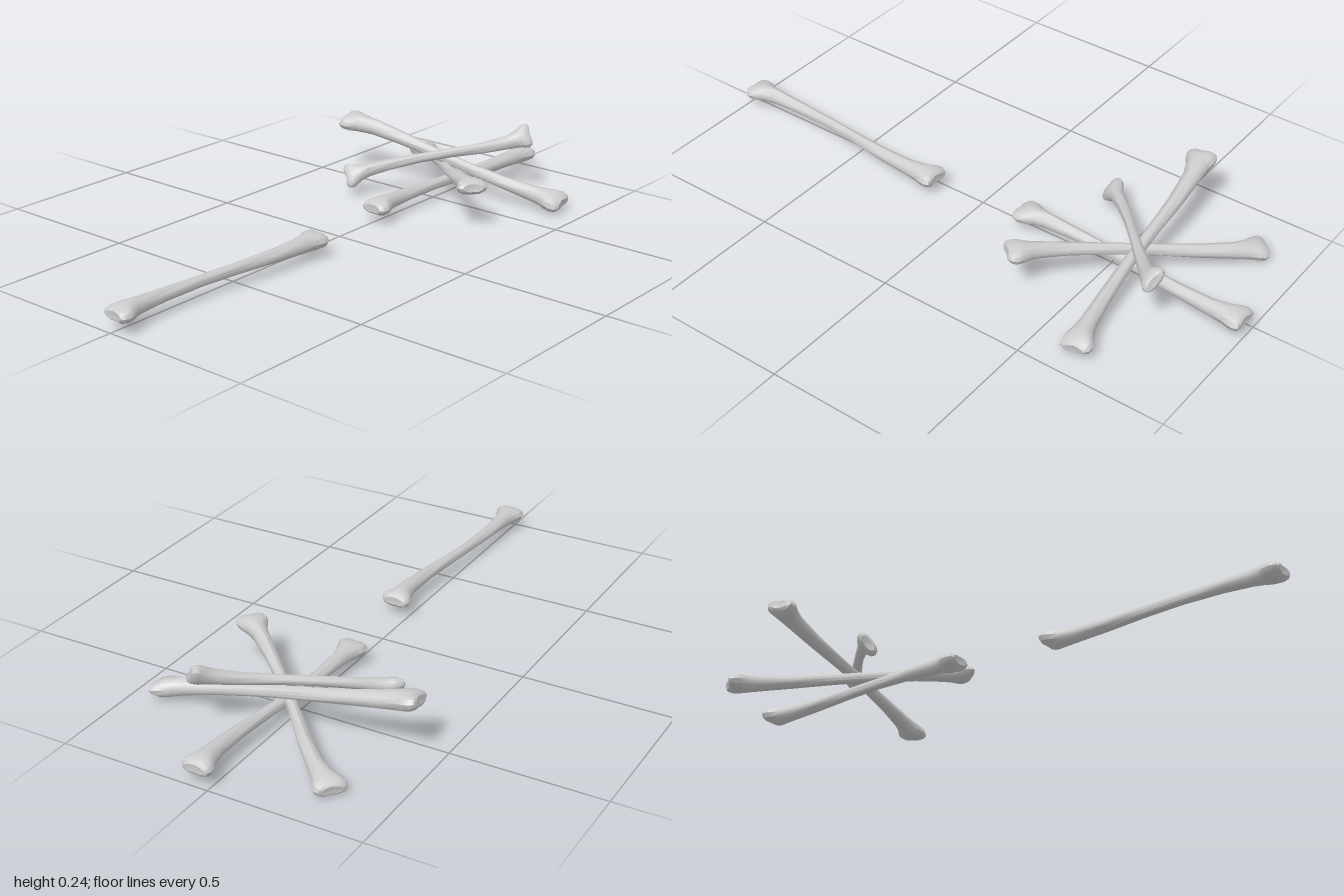
import * as THREE from 'three';
import { toCreasedNormals } from 'three/addons/utils/BufferGeometryUtils.js';

const LENGTH = 0.85;
const SIDES = 12;

// Cross-sections from head to foot: z, centre x, half width, half thickness, knuckle amount
const SECTIONS = [
  [-0.422, 0.000, 0.034, 0.015, 1],
  [-0.416, 0.000, 0.045, 0.024, 1],
  [-0.402, 0.001, 0.051, 0.030, 1],
  [-0.384, 0.002, 0.048, 0.031, 0.7],
  [-0.360, 0.006, 0.037, 0.029, 0.3],
  [-0.310, 0.011, 0.028, 0.025, 0],
  [-0.200, 0.010, 0.023, 0.021, 0],
  [-0.060, 0.000, 0.019, 0.018, 0],
  [0.080, -0.008, 0.019, 0.017, 0],
  [0.220, -0.010, 0.022, 0.020, 0],
  [0.315, -0.007, 0.026, 0.025, 0],
  [0.350, -0.004, 0.033, 0.028, 0.3],
  [0.372, -0.002, 0.044, 0.031, 0.7],
  [0.392, 0.000, 0.051, 0.030, 1],
  [0.411, 0.000, 0.047, 0.024, 1],
  [0.421, 0.000, 0.034, 0.015, 1],
];

// One long bone lying along z, with a two-lobed knuckle at each end
function boneGeometry() {
  const points = [];
  const index = [];
  for (const [z, cx, w, h, knuckle] of SECTIONS) {
    for (let i = 0; i < SIDES; i++) {
      const a = (i / SIDES) * Math.PI * 2;
      const u = Math.cos(a);
      const v = Math.sin(a);
      const pinch = 1 - 0.12 * knuckle * (1 - Math.abs(u));  // groove between the lobes
      const ridge = 1 + 0.14 * (1 - knuckle) * Math.max(0, v) ** 4;  // ridge along the shaft
      const lobe = Math.sign(z) * knuckle * 0.008 * (Math.abs(u) * (w / 0.05) - 0.5);
      points.push(cx + w * u, h * v * pinch * ridge, z + lobe);
    }
  }
  const rings = SECTIONS.length;
  for (let r = 0; r < rings - 1; r++) {
    for (let i = 0; i < SIDES; i++) {
      const a = r * SIDES + i;
      const b = r * SIDES + (i + 1) % SIDES;
      index.push(a, b, a + SIDES, b, b + SIDES, a + SIDES);
    }
  }
  // End caps, fanned around a slightly sunken centre
  for (const [ring, z, flip] of [[0, -0.416, true], [rings - 1, 0.415, false]]) {
    const centre = points.length / 3;
    points.push(0, 0, z);
    for (let i = 0; i < SIDES; i++) {
      const a = ring * SIDES + i;
      const b = ring * SIDES + (i + 1) % SIDES;
      if (flip) index.push(centre, b, a);
      else index.push(centre, a, b);
    }
  }
  const geometry = new THREE.BufferGeometry();
  geometry.setAttribute('position', new THREE.Float32BufferAttribute(points, 3));
  geometry.setIndex(index);
  return toCreasedNormals(geometry, 0.65);
}

// Lays a bone between two tips, rolled about its own length
function placeBone(mesh, head, foot, roll, girth) {
  const start = new THREE.Vector3(...head);
  const end = new THREE.Vector3(...foot);
  const along = end.clone().sub(start);
  const scale = along.length() / LENGTH;
  along.normalize();
  const side = new THREE.Vector3(0, 1, 0).cross(along).normalize();
  const up = along.clone().cross(side);
  mesh.quaternion.setFromRotationMatrix(new THREE.Matrix4().makeBasis(side, up, along));
  mesh.rotateZ(roll);
  mesh.position.copy(start).add(end).multiplyScalar(0.5);
  mesh.scale.set(scale * girth, scale * girth, scale);
}

export function createModel() {
  const group = new THREE.Group();
  group.name = 'bonePile';
  const geometry = boneGeometry();
  const material = new THREE.MeshStandardMaterial({ color: 0xcccccc });

  // Name, head tip, foot tip, roll, girth
  const bones = [
    ['looseBone', [0.045, 0.06, 0.15], [0.01, 0.06, 1.0], 0, 1],
    ['pileBoneLengthwise', [0.045, 0.06, -1.0], [0.01, 0.06, -0.15], 0, 1],
    ['pileBoneCrosswise', [-0.438, 0.194, -0.553], [0.435, 0.038, -0.648], 0.2, 1],
    ['pileBoneDiagonal', [-0.325, 0.028, -0.862], [0.305, 0.155, -0.31], 0, 1],
    ['pileBoneSmall', [0.21, 0.208, -0.775], [-0.253, 0.067, -0.328], -0.9, 1.12],
  ];
  for (const [name, head, foot, roll, girth] of bones) {
    const mesh = new THREE.Mesh(geometry, material);
    mesh.name = name;
    placeBone(mesh, head, foot, roll, girth);
    group.add(mesh);
  }
  return group;
}
